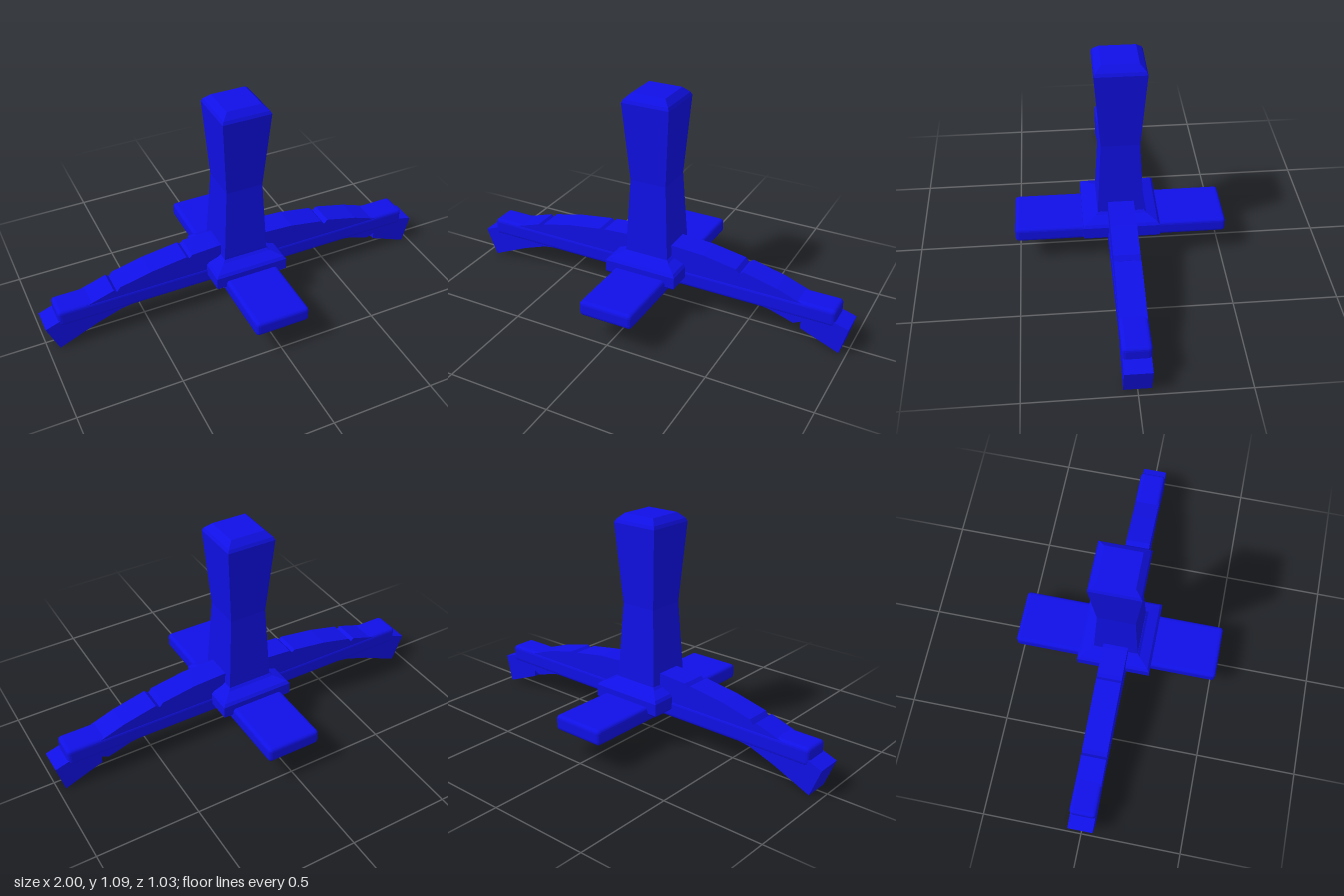
import * as THREE from 'three';
import { RoundedBoxGeometry } from 'three/addons/geometries/RoundedBoxGeometry.js';

export function createModel() {
  const group = new THREE.Group();
  const material = new THREE.MeshStandardMaterial({ color: 0x1010e6, flatShading: true });

  function add(name, geometry, y = 0) {
    const mesh = new THREE.Mesh(geometry, material);
    mesh.name = name;
    mesh.position.y = y;
    group.add(mesh);
    return mesh;
  }

  // Square column from [half width, height] pairs
  function squareColumn(profile) {
    const points = profile.map(([half, y]) => new THREE.Vector2(half * Math.SQRT2, y));
    return new THREE.LatheGeometry(points, 4, Math.PI / 4);
  }

  // Flared foot and waisted post with a chamfered top
  add('postFoot', squareColumn([
    [0, 0.17], [0.177, 0.17], [0.185, 0.18], [0.185, 0.238], [0.174, 0.251],
    [0.124, 0.27], [0.113, 0.28], [0, 0.28],
  ]));
  add('post', squareColumn([
    [0, 0.25], [0.113, 0.25], [0.111, 0.29], [0.092, 0.654],
    [0.12, 1.043], [0.113, 1.058], [0.085, 1.086], [0, 1.086],
  ]));

  // Long bar and the shorter bar crossing it
  add('longBar', new RoundedBoxGeometry(1.87, 0.087, 0.132, 2, 0.018), 0.173);
  add('crossBar', new RoundedBoxGeometry(0.272, 0.076, 1.032, 2, 0.018), 0.172);

  // Bowed limb with small nicks, its middle sunk into the long bar
  const outline = [
    // top edge, left to right
    [-1, 0.137], [-0.93, 0.163], [-0.78, 0.213], [-0.66, 0.252], [-0.645, 0.238],
    [-0.628, 0.26], [-0.473, 0.297], [-0.29, 0.323], [-0.275, 0.312], [-0.26, 0.327],
    [-0.126, 0.336], [0.104, 0.336], [0.275, 0.327], [0.446, 0.298], [0.463, 0.277],
    [0.484, 0.295], [0.65, 0.254], [0.77, 0.21], [0.93, 0.158], [1, 0.137],
    // underside, right to left
    [0.965, 0], [0.775, 0.076], [0.775, 0.112], [0.74, 0.094], [0.62, 0.132],
    [0.3, 0.18], [0, 0.195], [-0.3, 0.18], [-0.63, 0.128], [-0.757, 0.083], [-0.945, 0],
  ].map(([x, y]) => new THREE.Vector2(x, y));
  const limb = new THREE.ExtrudeGeometry(new THREE.Shape(outline), { depth: 0.125, bevelEnabled: false });
  limb.translate(0, 0, -0.0625);
  add('bowedLimb', limb);

  return group;
}
